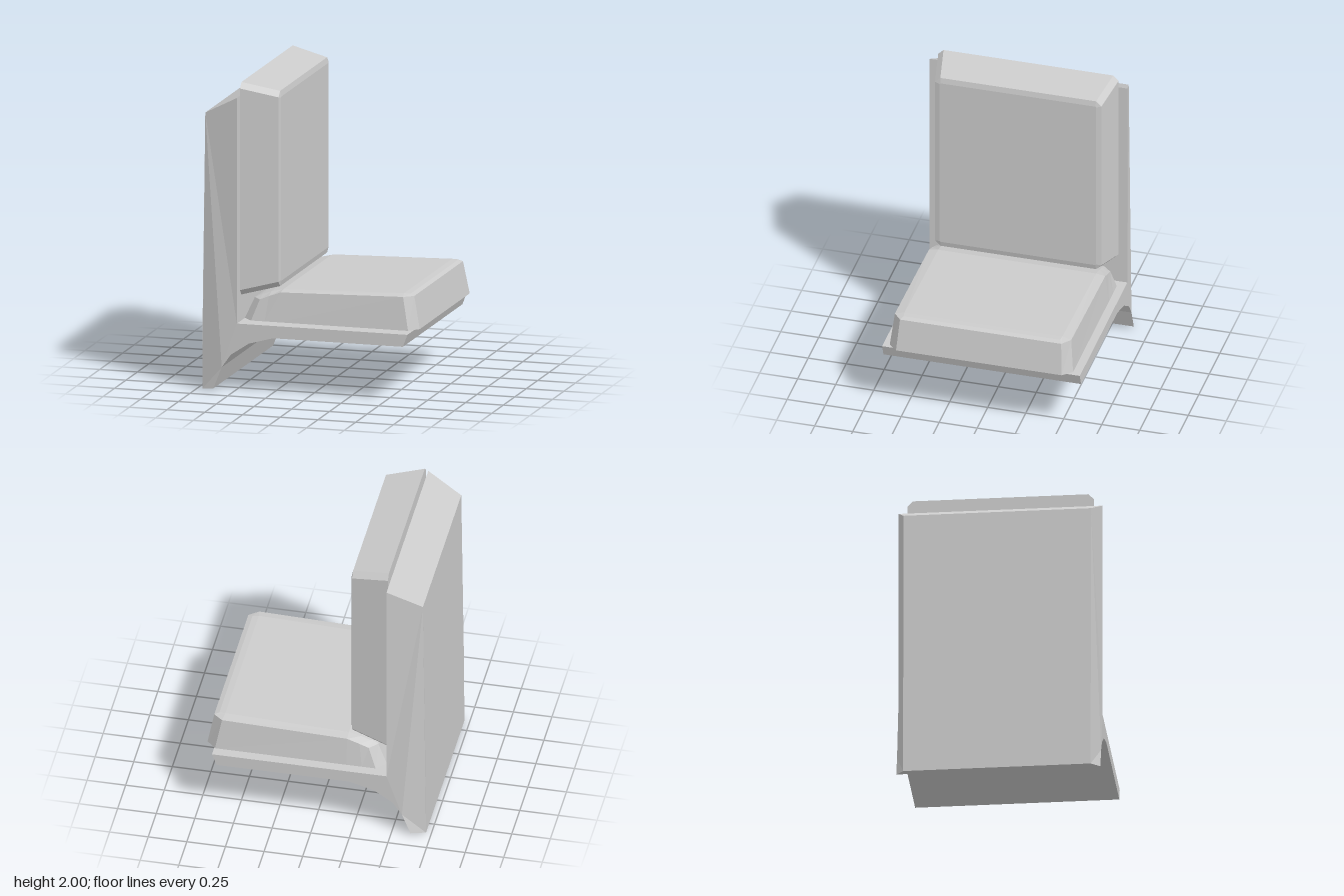
import * as THREE from 'three';

const material = () => new THREE.MeshStandardMaterial({ color: 0xcccccc, flatShading: true });

// Skins a stack of half outlines (z > 0) mirrored across z, capped at both ends.
function loft(name, halves) {
  const mirror = ([x, y, z]) => [x, y, -z];
  const pos = [];
  const quad = (a, b, c, d) => pos.push(...a, ...b, ...c, ...a, ...c, ...d);
  const rings = halves.map(h => [...h, ...h.map(mirror).reverse()]);
  for (let k = 0; k < rings.length - 1; k++) {
    const a = rings[k], b = rings[k + 1];
    a.forEach((p, i) => {
      const j = (i + 1) % a.length;
      quad(p, a[j], b[j], b[i]);
    });
  }
  const first = halves[0], last = halves[halves.length - 1];
  for (let i = 0; i < first.length - 1; i++) {
    quad(mirror(first[i]), mirror(first[i + 1]), first[i + 1], first[i]);
    quad(last[i], last[i + 1], mirror(last[i + 1]), mirror(last[i]));
  }
  const geo = new THREE.BufferGeometry();
  geo.setAttribute('position', new THREE.Float32BufferAttribute(pos, 3));
  geo.computeVertexNormals();
  const mesh = new THREE.Mesh(geo, material());
  mesh.name = name;
  return mesh;
}

// L-shaped shell: side profile extruded across the width, rear edge pulled in
function makeFrame() {
  const profile = [
    [-0.715, 0], [-0.625, 0.02], [-0.57, 0.16], [-0.51, 0.245], [-0.39, 0.325], [-0.23, 0.37],
    [0.63, 0.37], [0.66, 0.45], [-0.47, 0.45], [-0.47, 1.915], [-0.695, 1.795], [-0.713, 0.435],
  ].map(p => new THREE.Vector2(...p));
  const geo = new THREE.ExtrudeGeometry(new THREE.Shape(profile), { depth: 1.3, bevelEnabled: false });
  geo.translate(0, 0, -0.65);
  const p = geo.attributes.position;
  for (let i = 0; i < p.count; i++) {
    if (p.getX(i) < -0.68) p.setZ(i, Math.sign(p.getZ(i)) * 0.597);
  }
  geo.computeVertexNormals();
  const mesh = new THREE.Mesh(geo, material());
  mesh.name = 'frame';
  return mesh;
}

// Chamfered upright outline at depth x
function backOutline(x, y0, y1, z, c) {
  return [[x, y1, z - c], [x, y1 - c, z], [x, y0 + c, z], [x, y0, z - c]];
}

export function createModel() {
  const group = new THREE.Group();
  group.name = 'seat';
  group.add(makeFrame());

  // Back cushion, tapering towards its front face
  group.add(loft('backCushion', [
    backOutline(-0.467, 0.62, 2.0, 0.593, 0.035),
    backOutline(-0.225, 0.68, 1.948, 0.547, 0.035),
    backOutline(-0.217, 0.715, 1.912, 0.515, 0.005),
  ]));

  // Seat cushion: base, upper rim and softly bevelled top, sloping down at the rear
  group.add(loft('seatCushion', [
    [[-0.45, 0.465, 0.54], [-0.39, 0.465, 0.603], [-0.3, 0.465, 0.603],
      [-0.2, 0.465, 0.603], [0.65, 0.465, 0.603], [0.71, 0.468, 0.545]],
    [[-0.39, 0.6, 0.52], [-0.34, 0.6, 0.575], [-0.28, 0.625, 0.578],
      [-0.2, 0.655, 0.58], [0.61, 0.678, 0.58], [0.67, 0.678, 0.53]],
    [[-0.36, 0.615, 0.51], [-0.34, 0.623, 0.52], [-0.28, 0.645, 0.52],
      [-0.2, 0.664, 0.52], [0.6, 0.69, 0.52], [0.64, 0.687, 0.515]],
  ]));
  return group;
}
